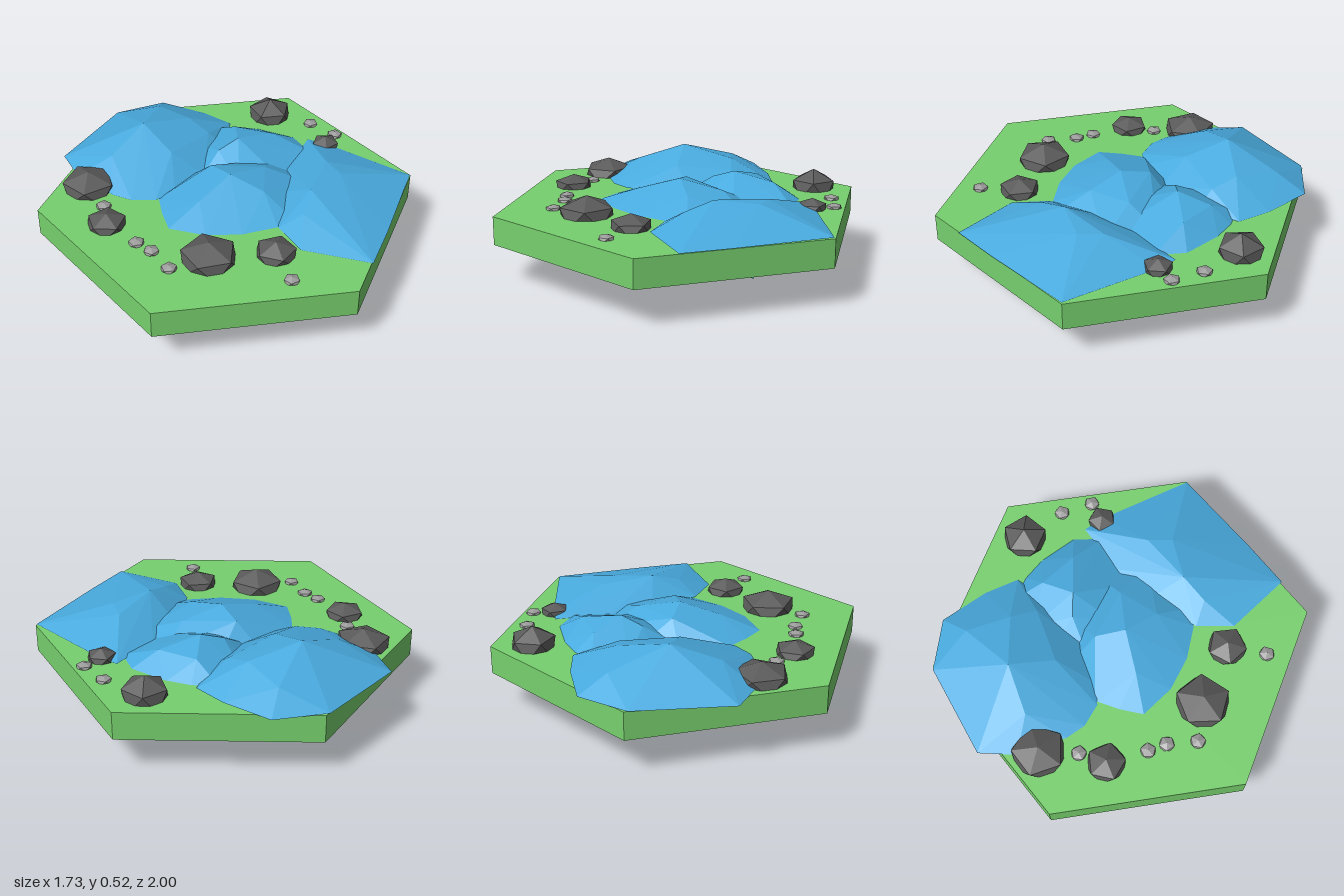
import * as THREE from 'three';
import { ConvexGeometry } from 'three/addons/geometries/ConvexGeometry.js';

const mat = (name, color, side = THREE.FrontSide) => {
  const m = new THREE.MeshStandardMaterial({ color, side, flatShading: true });
  m.name = name;
  return m;
};

export function createModel() {
  const grass = mat('grass', 0x77d06e);
  const water = mat('water', 0x49abdf, THREE.DoubleSide);
  const stone = mat('dark stone', 0x5b5a5a);
  const gravel = mat('light gravel', 0x9c9b9b);

  const model = new THREE.Group();
  model.name = 'riverTile';
  const add = (geo, material, name) => {
    const mesh = new THREE.Mesh(geo, material);
    mesh.name = name;
    model.add(mesh);
    return mesh;
  };

  // Hexagonal ground slab, corners towards front and back
  add(new THREE.CylinderGeometry(1, 1, 0.15, 6), grass, 'groundTile').position.y = 0.275;

  // Faceted water mound: outline [x, z] at the ground, crest points [x, y, z]
  const mound = (name, base, outline, crest) => {
    const pts = outline.map(([x, z]) => new THREE.Vector3(x, base, z));
    crest.forEach(p => pts.push(new THREE.Vector3(...p)));
    add(new ConvexGeometry(pts), water, name);
  };
  mound('backWater', 0.355,
    [[-0.02, -1], [0.25, -0.92], [0.37, -0.68], [0.42, -0.5], [0.25, -0.33], [0, -0.21], [-0.22, -0.17],
      [-0.34, -0.18], [-0.44, -0.26], [-0.49, -0.36], [-0.54, -0.62], [-0.5, -0.82]],
    [[-0.11, 0.525, -0.6], [-0.36, 0.445, -0.55], [0.17, 0.465, -0.56], [0.14, 0.435, -0.8],
      [-0.1, 0.455, -0.36], [0.2, 0.425, -0.42]]);
  mound('middleLeftWater', 0.345,
    [[-0.44, 0.05], [-0.39, -0.08], [-0.33, -0.19], [-0.06, -0.25], [0.12, -0.22], [0.38, -0.08],
      [0.4, 0.2], [0.12, 0.4], [0.01, 0.4], [-0.17, 0.33], [-0.32, 0.22]],
    [[0, 0.48, 0.02], [-0.22, 0.42, 0.04], [0, 0.45, -0.14], [0.08, 0.435, 0.2], [0.23, 0.43, 0.03]]);
  mound('middleRightWater', 0.345,
    [[0.31, -0.54], [0.43, -0.46], [0.52, -0.36], [0.62, -0.17], [0.6, 0], [0.3, 0.1], [0.08, 0],
      [-0.02, -0.2], [0.05, -0.33], [0.14, -0.46]],
    [[0.25, 0.475, -0.22], [0.35, 0.43, -0.37], [0.47, 0.43, -0.19], [0.13, 0.435, -0.24]]);
  mound('frontWater', 0.355,
    [[0.66, -0.1], [0.71, 0], [0.86, 0.5], [0.42, 0.77], [0.19, 0.9], [-0.02, 0.6], [0.01, 0.4],
      [0.2, 0.17], [0.4, 0.03]],
    [[0.25, 0.47, 0.37], [0.5, 0.45, 0.22], [0.48, 0.455, 0.35], [0.12, 0.425, 0.46]]);

  // Open water walls below the slab: lower edge [x, y, z], leaning out towards the top
  const wall = (name, edge, lean = 1.06) => {
    const pos = [], index = [];
    edge.forEach(([x, y, z], i) => {
      pos.push(x, y, z, x * lean, 0.21, z * lean);
      if (i) index.push(2 * i - 2, 2 * i, 2 * i - 1, 2 * i, 2 * i + 1, 2 * i - 1);
    });
    const geo = new THREE.BufferGeometry();
    geo.setAttribute('position', new THREE.Float32BufferAttribute(pos, 3));
    geo.setIndex(index);
    const flat = geo.toNonIndexed();
    flat.computeVertexNormals();
    add(flat, water, name);
  };
  wall('lowerFrontWall', [[-0.43, 0.13, -0.18], [-0.48, 0.1, 0.08], [-0.42, 0.1, 0.31], [-0.28, 0.1, 0.46],
    [-0.03, 0.1, 0.53], [0.23, 0.1, 0.45], [0.45, 0.11, 0.47]]);
  wall('lowerSideWall', [[0.47, 0.11, 0.48], [0.45, 0.12, 0.12], [0.42, 0.13, -0.16], [0.32, 0.14, -0.36],
    [0.13, 0.15, -0.4], [-0.08, 0.16, -0.38]]);
  wall('lowerBackWall', [[-0.35, 0.1, -0.25], [-0.35, 0, -0.29], [-0.2, 0.03, -0.55], [0.03, 0.07, -0.69],
    [0.36, 0.19, -0.6]], 1);
  wall('lowerCrossWall', [[-0.59, 0.145, -0.43], [-0.33, 0.14, -0.26], [-0.05, 0.12, -0.09],
    [0.47, 0.11, 0.48]], 1);

  // Rocks and pebbles: squashed icosahedra with one corner up
  const rockGeo = new THREE.IcosahedronGeometry(1, 0);
  rockGeo.rotateX(-Math.atan((1 + Math.sqrt(5)) / 2));
  const rock = (name, material, x, z, r, h, turn) => {
    const mesh = add(rockGeo, material, name);
    mesh.position.set(x, 0.352, z);
    mesh.scale.set(r, h, r);
    mesh.rotation.y = turn;
  };
  [[-0.54, -0.51, 0.155, 0.09, 0.5], [-0.65, -0.18, 0.112, 0.066, 1.2], [-0.41, 0.36, 0.158, 0.1, 0.2],
    [-0.13, 0.54, 0.115, 0.073, 0.9], [0.66, -0.43, 0.13, 0.105, 0.1], [0.7, 0, 0.082, 0.055, 0.6]]
    .forEach(p => rock('rock', stone, ...p));
  [[-0.58, -0.31], [0.78, -0.21], [0.81, -0.04], [-0.62, 0.04], [-0.6, 0.14], [-0.61, 0.3], [-0.2, 0.74]]
    .forEach(([x, z], i) => rock('pebble', gravel, x, z, 0.045, 0.024, i * 0.5));

  return model;
}
